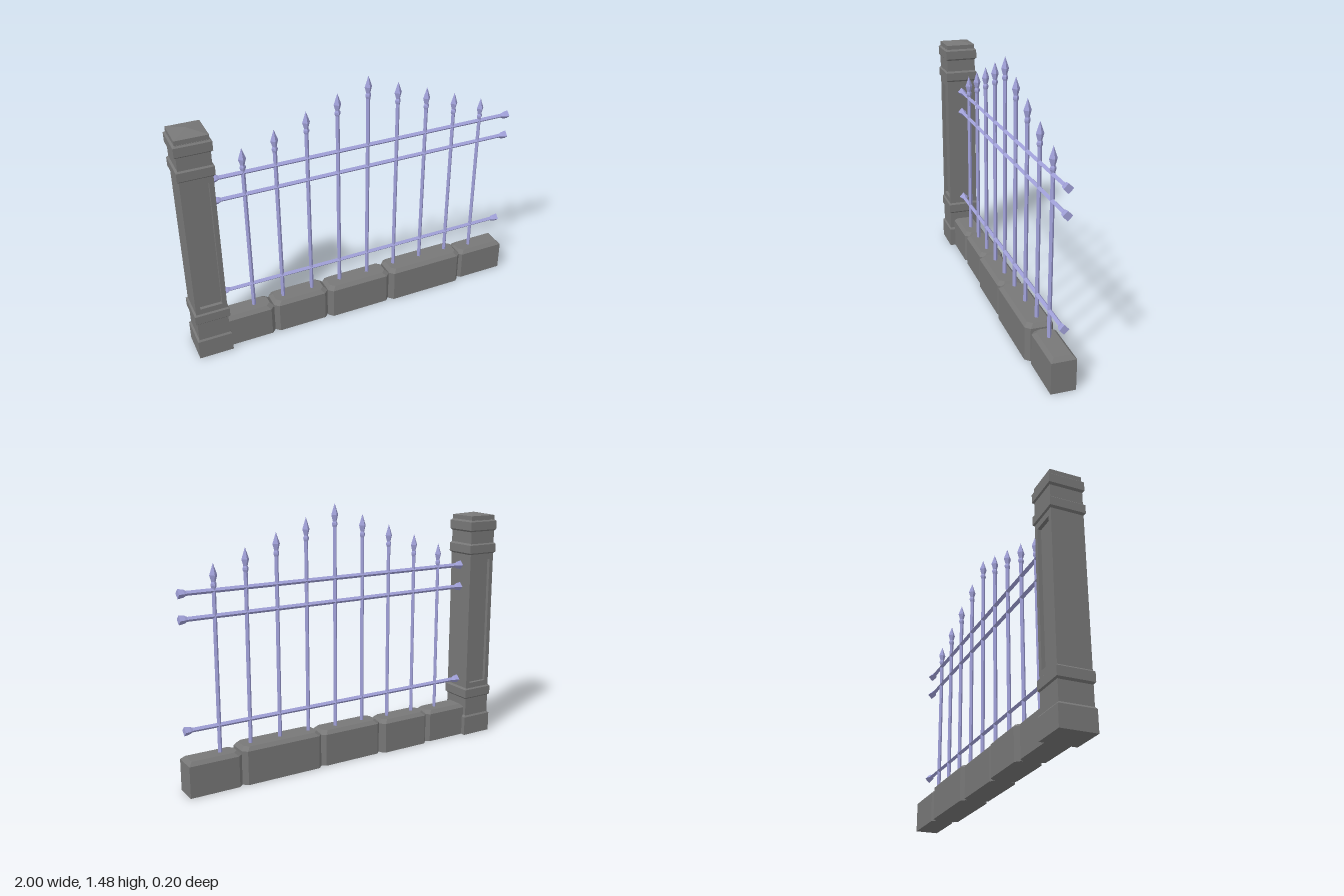
import * as THREE from 'three';

const stone = new THREE.MeshStandardMaterial({ color: 0x777777, flatShading: true });
const iron = new THREE.MeshStandardMaterial({ color: 0xa0a0d8, flatShading: true });

const POST_X = -0.903;

function add(parent, name, geometry, material, x = 0, y = 0, z = 0) {
  const mesh = new THREE.Mesh(geometry, material);
  mesh.name = name;
  mesh.position.set(x, y, z);
  parent.add(mesh);
  return mesh;
}

// Four-sided turned bar from [radius, height] pairs, corners on the axes
function fourSided(profile) {
  return new THREE.LatheGeometry(profile.map(([r, y]) => new THREE.Vector2(r, y)), 4);
}

// Square course of masonry from [half width, height] pairs
function squareCourse(profile) {
  return fourSided(profile.map(([w, y]) => [w * Math.SQRT2, y])).rotateY(Math.PI / 4);
}

// Wall block with chamfered top edges and optional chamfered upright corners
function blockGeometry(x0, x1, z0, z1, h, cl, cr) {
  const ring = (y, d) => {
    const [a, b, c, e] = [x0 + d, x1 - d, z0 + d, z1 - d];
    return [[b, e - cr], [b, c + cr], [b - cr, c], [a + cl, c],
      [a, c + cl], [a, e - cl], [a + cl, e], [b - cr, e]].map(([x, z]) => [x, y, z]);
  };
  const rings = [ring(0, 0), ring(h - 0.02, 0), ring(h, 0.02)];
  const pos = [];
  const tri = (...pts) => pts.forEach((p) => pos.push(...p));
  for (let k = 0; k < 2; k++) {
    const lo = rings[k], hi = rings[k + 1];
    for (let i = 0; i < 8; i++) {
      const j = (i + 1) % 8;
      tri(lo[i], lo[j], hi[j]);
      tri(lo[i], hi[j], hi[i]);
    }
  }
  for (let i = 1; i < 7; i++) {
    tri(rings[2][0], rings[2][i], rings[2][i + 1]);
    tri(rings[0][0], rings[0][i + 1], rings[0][i]);
  }
  const g = new THREE.BufferGeometry();
  g.setAttribute('position', new THREE.Float32BufferAttribute(pos, 3));
  g.computeVertexNormals();
  return g;
}

function rectangle(Type, w, y0, y1) {
  const p = new Type();
  p.moveTo(-w, y0);
  p.lineTo(w, y0);
  p.lineTo(w, y1);
  p.lineTo(-w, y1);
  p.closePath();
  return p;
}

function createPost() {
  const post = new THREE.Group();
  post.name = 'post';
  post.position.x = POST_X;

  // Shaft with a sunken panel on the front and back
  const outline = rectangle(THREE.Shape, 0.088, 0.1, 1.345);
  outline.holes.push(rectangle(THREE.Path, 0.062, 0.335, 1.105));
  const shaft = new THREE.ExtrudeGeometry(outline, { depth: 0.18, bevelEnabled: false });
  add(post, 'postShaft', shaft, stone, 0, 0, -0.09);
  add(post, 'sunkenPanel', new THREE.BoxGeometry(0.124, 0.77, 0.14), stone, 0, 0.72, 0);

  // Foot, raised bands and pyramid cap
  add(post, 'postBase', squareCourse([[0, 0], [0.098, 0], [0.098, 0.115], [0.088, 0.127], [0, 0.127]]), stone);
  for (const [y0, y1] of [[0.233, 0.304], [1.138, 1.206], [1.275, 1.345]]) {
    add(post, 'postBand', squareCourse([[0, y0], [0.088, y0], [0.098, y0 + 0.01],
      [0.098, y1 - 0.01], [0.088, y1], [0, y1]]), stone);
  }
  add(post, 'postCap', squareCourse([[0, 1.34], [0.088, 1.34], [0.088, 1.37], [0, 1.387]]), stone);
  return post;
}

function createWall() {
  const wall = new THREE.Group();
  wall.name = 'wall';
  // x0, x1, z0, z1, height, left chamfer, right chamfer
  const blocks = [
    [-0.82, -0.53, -0.07, 0.065, 0.195, 0, 0.025],
    [-0.53, -0.195, -0.08, 0.065, 0.2, 0.025, 0.025],
    [-0.195, 0.205, -0.065, 0.077, 0.206, 0.025, 0.025],
    [0.205, 0.695, -0.073, 0.085, 0.212, 0.025, 0.025],
    [0.695, 1, -0.07, 0.065, 0.195, 0.025, 0],
  ];
  for (const b of blocks) add(wall, 'wallBlock', blockGeometry(...b), stone);
  return wall;
}

function createRailing() {
  const railing = new THREE.Group();
  railing.name = 'railing';

  // Horizontal rails with flared ends
  const half = 0.903;
  const end = [[0, half], [0.026, half], [0.021, half - 0.03], [0.013, half - 0.045]];
  const profile = [...end.map(([r, y]) => [r, -y]), ...end.slice().reverse()];
  for (const y of [1.07, 0.937, 0.347]) {
    add(railing, 'rail', fourSided(profile).rotateZ(-Math.PI / 2), iron, 0.09, y, 0);
  }

  // Upright pickets rising to the middle, each with a spear head
  for (let i = -4; i <= 4; i++) {
    const top = 1.48 - Math.abs(i) * 0.067;
    add(railing, 'picket', fourSided([[0, 0.17], [0.012, 0.17], [0.012, top - 0.13],
      [0.017, top - 0.118], [0.017, top - 0.108], [0.012, top - 0.098],
      [0.022, top - 0.063], [0, top]]), iron, 0.081 + i * 0.1795, 0, 0);
  }
  return railing;
}

export function createModel() {
  const model = new THREE.Group();
  model.name = 'fenceSection';
  model.add(createPost(), createWall(), createRailing());
  return model;
}
